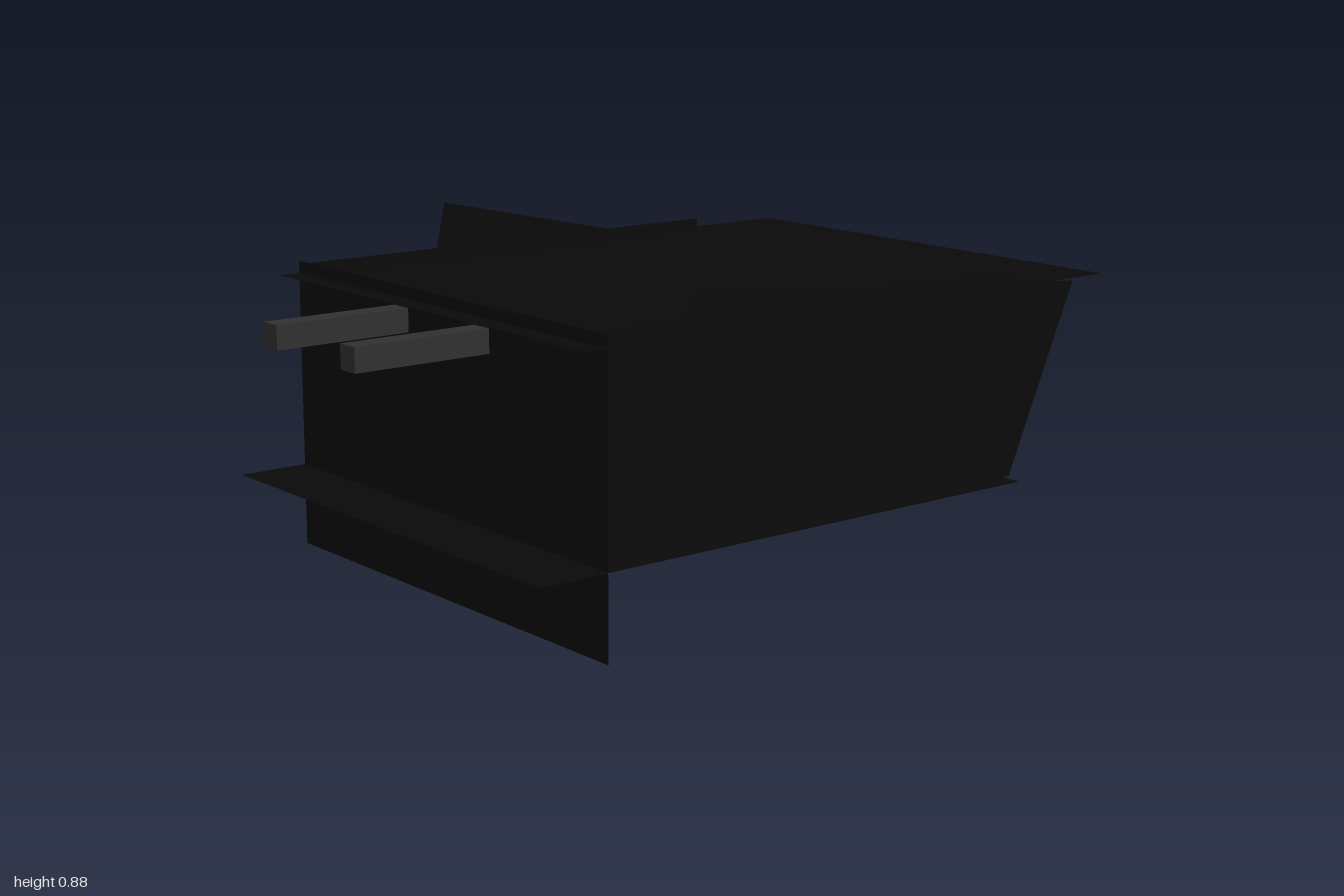
import * as THREE from 'three';

export function createModel() {
  const group = new THREE.Group();
  const black = new THREE.MeshStandardMaterial({ color: 0x0a0a0a, side: THREE.DoubleSide });
  const grey = new THREE.MeshStandardMaterial({ color: 0x303030 });

  function add(name, geometry, material, x, y, z) {
    const mesh = new THREE.Mesh(geometry, material);
    mesh.name = name;
    mesh.position.set(x, y, z);
    group.add(mesh);
    return mesh;
  }

  // Upright sheet across x, given as [z, y] corners
  function sideSheet(name, x, corners) {
    const shape = new THREE.Shape(corners.map(([z, y]) => new THREE.Vector2(-z, y)));
    const geometry = new THREE.ShapeGeometry(shape).rotateY(Math.PI / 2);
    return add(name, geometry, black, x, 0, 0);
  }

  // Flat sheet lying level between two depths
  function levelSheet(name, y, zBack, zFront) {
    const geometry = new THREE.PlaneGeometry(1.312, zFront - zBack).rotateX(-Math.PI / 2);
    return add(name, geometry, black, 0, y, (zBack + zFront) / 2);
  }

  // Open-backed casing
  levelSheet('topPanel', 0.73, -1, 0.69);
  levelSheet('bottomPanel', 0.217, -0.71, 0.82);
  add('frontPanel', new THREE.PlaneGeometry(1.312, 0.762), black, 0, 0.381, 0.63);

  for (const [side, s] of [['left', 1], ['right', -1]]) {
    sideSheet(side + 'Wall', s * 0.62, [[0.63, 0.22], [-0.69, 0.22], [-0.69, 0.76], [0.63, 0.76]]);
    // Square rails running through the front panel
    add(side + 'Rail', new THREE.BoxGeometry(0.061, 0.061, 1.96), grey, s * 0.172, 0.679, 0.02);
  }

  // Slanted inner flaps, different on each side
  sideSheet('leftFlap', 0.6, [[0.56, 0.315], [-0.73, 0.217], [-0.95, 0.71], [0.34, 0.81]]);
  sideSheet('rightFlap', -0.6, [[0.325, 0.37], [-0.78, 0.13], [-0.89, 0.644], [0.21, 0.885]]);

  return group;
}
